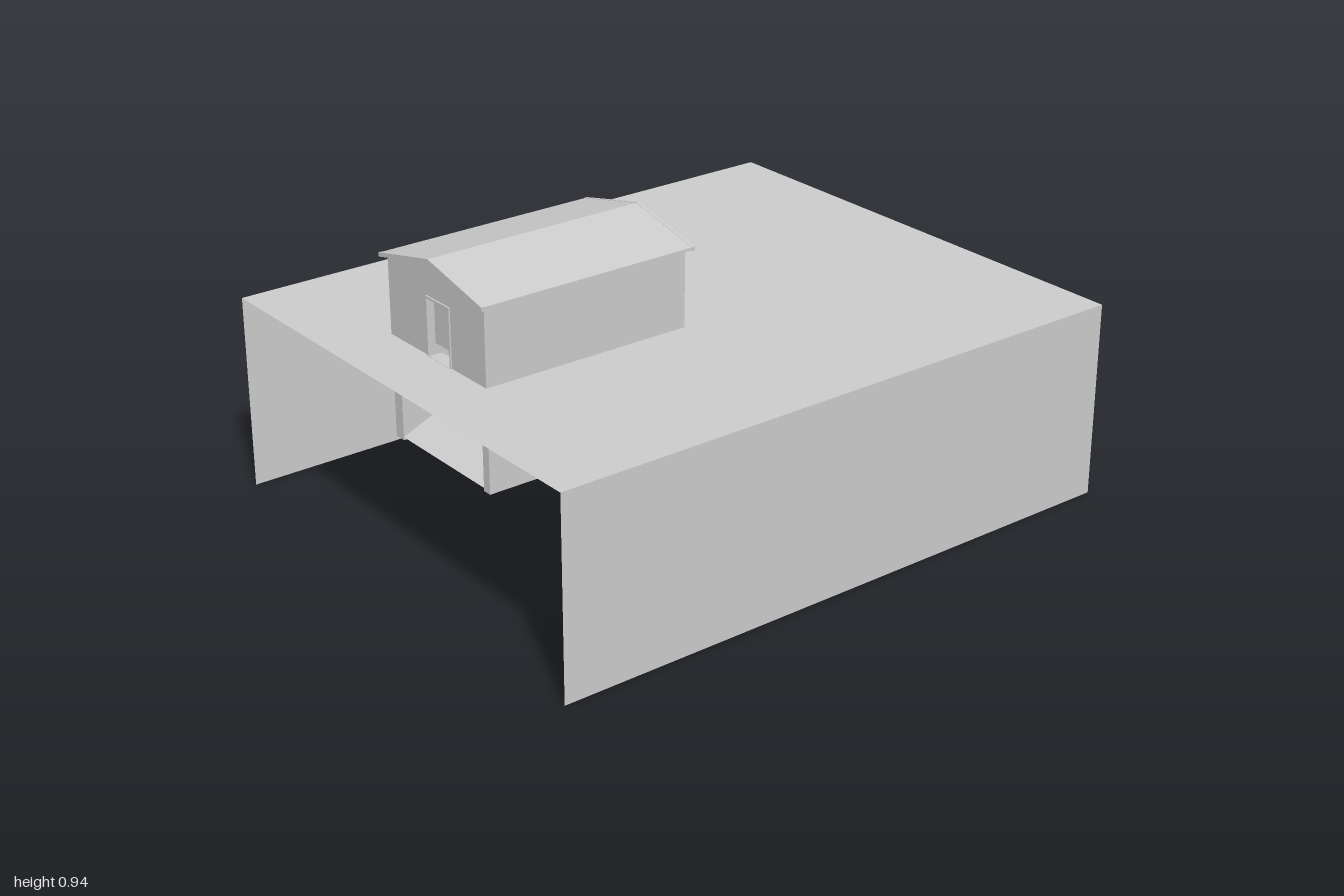
import * as THREE from 'three';

const grey = new THREE.MeshStandardMaterial({ color: 0xcccccc, side: THREE.DoubleSide, flatShading: true });
const rock = new THREE.MeshStandardMaterial({ color: 0x32152f, side: THREE.DoubleSide, flatShading: true });

// House extents
const L = -0.31, R = 0.18, MID = -0.065, BACK = 0.09, FRONT = 0.79;
const GROUND = 0.63, BASE = 0.3, EAVE = 0.88, RIDGE = 0.935, WALL = 0.04;

export function createModel() {
  const model = new THREE.Group();

  const add = (name, geometry, material = grey) => {
    const mesh = new THREE.Mesh(geometry, material);
    mesh.name = name;
    model.add(mesh);
    return mesh;
  };
  const box = (name, x0, x1, y0, y1, z0, z1) => {
    const g = new THREE.BoxGeometry(x1 - x0, y1 - y0, z1 - z0);
    g.translate((x0 + x1) / 2, (y0 + y1) / 2, (z0 + z1) / 2);
    return add(name, g);
  };
  const outline = (Type, pts) => new Type(pts.map(([x, y]) => new THREE.Vector2(x, y)));
  const rect = (x0, x1, y0, y1) => [[x0, y0], [x1, y0], [x1, y1], [x0, y1]];
  const slab = (name, shape, z0, z1) => {
    const g = new THREE.ExtrudeGeometry(shape, { depth: z1 - z0, bevelEnabled: false });
    g.translate(0, 0, z0);
    return add(name, g);
  };

  // Terrain sheet, cut out inside the house for the way down
  const ground = outline(THREE.Shape, rect(-0.82, 0.82, -1, 1));
  ground.holes.push(outline(THREE.Path, rect(L + WALL, R - WALL, -FRONT + 0.04, -BACK - 0.02)));
  add('ground', new THREE.ShapeGeometry(ground).rotateX(-Math.PI / 2).translate(0, GROUND, 0));

  // Terrain sides: left, right and back; front and bottom stay open
  for (const s of [-1, 1]) {
    const side = new THREE.PlaneGeometry(2, GROUND).rotateY(s * Math.PI / 2);
    add(s > 0 ? 'groundLeftSide' : 'groundRightSide', side.translate(s * 0.82, GROUND / 2, 0));
  }
  add('groundBack', new THREE.PlaneGeometry(1.64, GROUND).rotateY(Math.PI).translate(0, GROUND / 2, -1));

  // Side walls, running down below the ground
  box('rightWall', L, L + WALL, BASE, EAVE, BACK, FRONT);
  box('leftWall', R - WALL + 0.01, R, BASE, EAVE, BACK, FRONT);

  // Gable walls, the front one with a doorway
  const gable = (y0) => outline(THREE.Shape, [[L, y0], [R, y0], [R, EAVE], [MID, RIDGE], [L, EAVE]]);
  const frontGable = gable(0.61);
  frontGable.holes.push(outline(THREE.Path, rect(-0.105, 0.005, GROUND, 0.81)));
  slab('frontWall', frontGable, FRONT - 0.04, FRONT + 0.001);
  slab('backWall', gable(0.61), BACK - 0.001, BACK + 0.02);

  // Door, raised clear of the threshold, with a thin frame
  box('door', -0.105, 0.005, 0.665, 0.81, FRONT - 0.035, FRONT - 0.02);
  const frame = outline(THREE.Shape, rect(-0.109, 0.009, GROUND, 0.817));
  frame.holes.push(outline(THREE.Path, rect(-0.105, 0.005, GROUND + 0.001, 0.81)));
  slab('doorFrame', frame, FRONT, FRONT + 0.006);

  // Roof: one folded sheet with overhang, and raised edge trims at both ends
  const roof = (lift, t) => outline(THREE.Shape, [
    [-0.325, 0.875 + lift], [MID, 0.935 + lift], [0.2, 0.875 + lift],
    [0.2, 0.875 + lift + t], [MID, 0.935 + lift + t], [-0.325, 0.875 + lift + t]]);
  slab('roof', roof(0, 0.009), 0.07, 0.81);
  for (const z of [0.068, 0.802]) slab('roofTrim', roof(-0.003, 0.013), z, z + 0.01);

  // Ramp from the doorway down to the cave
  const run = FRONT - BACK, drop = 0.61 - 0.31;
  const ramp = new THREE.PlaneGeometry(R - L - 2 * WALL + 0.01, Math.hypot(run, drop));
  ramp.rotateX(-Math.PI / 2 + Math.atan2(drop, run));
  add('ramp', ramp.translate(MID + 0.005, 0.46, (FRONT + BACK) / 2));

  // Cave passage floor
  box('caveFloor', L, R, 0.295, 0.312, -0.7, BACK);

  // Cave: a tube along z with flattened bottom, uneven sides and a closed far end
  const cave = new THREE.CylinderGeometry(1, 1, 1, 28, 18, true).rotateX(Math.PI / 2);
  const p = cave.attributes.position;
  for (let i = 0; i < p.count; i++) {
    const t = 0.5 - p.getZ(i);
    const a = Math.atan2(p.getY(i), p.getX(i));
    const bump = 1 + 0.03 * Math.sin(3 * a + 17 * t) + 0.025 * Math.sin(5 * a - 29 * t);
    const swell = t < 0.2 ? 0.85 + 0.75 * t : Math.sqrt(Math.max(0, 1 - Math.pow((t - 0.2) / 0.8, 6)));
    const r = swell * bump * 0.97;
    p.setXYZ(i,
      -0.035 + 0.3 * r * Math.cos(a),
      Math.max(0.297, 0.435 + 0.165 * r * Math.sin(a)),
      BACK - 0.84 * t);
  }
  cave.computeVertexNormals();
  add('cave', cave, rock);

  return model;
}
